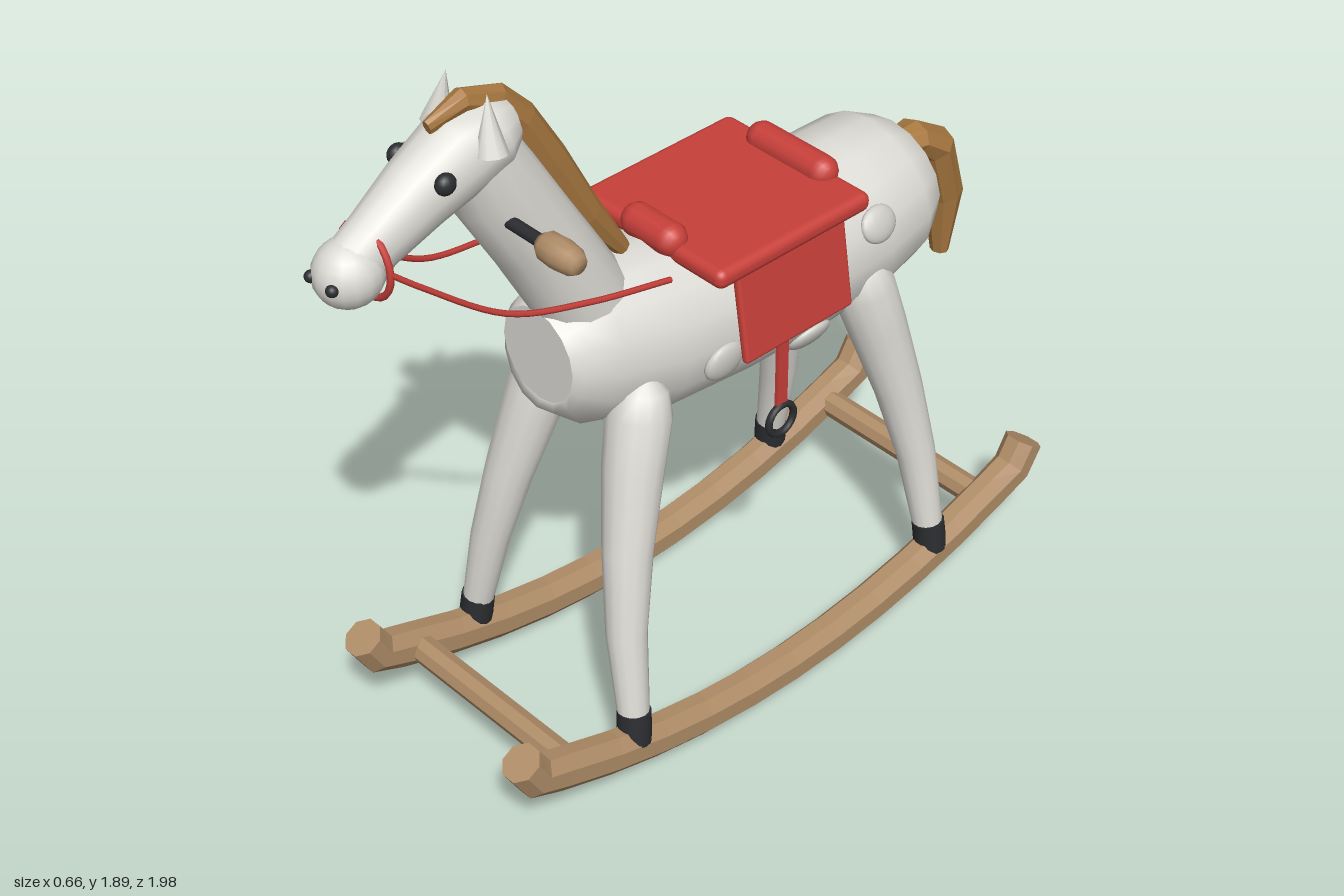
import * as THREE from 'three';
import { RoundedBoxGeometry } from 'three/addons/geometries/RoundedBoxGeometry.js';

const paint = (color, flatShading = false) => new THREE.MeshStandardMaterial({ color, flatShading });
const coat = paint(0xdedcd6), spotCoat = paint(0xcfcdc6), wood = paint(0xb08d68, true);
const gripWood = paint(0xb08d68), hair = paint(0xa87840, true), red = paint(0xc8403a), dark = paint(0x2b2d30);

// Closed skin over oval sections [x, y, z, half width, half depth] along a path
function loft(sections, n = 14, turn = 0, grow = 1) {
  const pts = sections.map(s => new THREE.Vector3(s[0], s[1], s[2]));
  const pos = [], index = [], last = pts.length - 1;
  const rings = sections.map((s, i) => {
    const t = pts[Math.min(i + 1, last)].clone().sub(pts[Math.max(i - 1, 0)]).normalize();
    const side = new THREE.Vector3(1, 0, 0).addScaledVector(t, -t.x).normalize();
    const up = t.clone().cross(side);
    return Array.from({ length: n }, (_, k) => {
      const a = turn + k / n * Math.PI * 2;
      return pts[i].clone().addScaledVector(side, Math.cos(a) * s[3] * grow).addScaledVector(up, Math.sin(a) * s[4] * grow);
    });
  });
  rings.forEach(r => r.forEach(p => pos.push(p.x, p.y, p.z)));
  for (let i = 0; i < last; i++) for (let k = 0; k < n; k++) {
    const a = i * n + k, b = i * n + (k + 1) % n;
    index.push(a, b, b + n, a, b + n, a + n);
  }
  // End caps with their own vertices, so the rim stays sharp
  for (const i of [0, last]) {
    const base = pos.length / 3;
    [...rings[i], pts[i]].forEach(p => pos.push(p.x, p.y, p.z));
    for (let k = 0; k < n; k++) {
      const k2 = (k + 1) % n;
      index.push(base + n, base + (i ? k : k2), base + (i ? k2 : k));
    }
  }
  const g = new THREE.BufferGeometry();
  g.setAttribute('position', new THREE.Float32BufferAttribute(pos, 3));
  g.setIndex(index);
  g.computeVertexNormals();
  return g;
}

export function createModel() {
  const model = new THREE.Group();
  const add = (name, geo, mat, p = [0, 0, 0], r = [0, 0, 0], s = [1, 1, 1]) => {
    const m = new THREE.Mesh(geo, mat);
    m.name = name;
    m.position.set(...p); m.rotation.set(...r); m.scale.set(...s);
    model.add(m);
    return m;
  };
  const mid = -0.1; // middle of the rockers along z
  const ball = new THREE.SphereGeometry(1, 16, 12);
  const HALF = Math.PI / 2;

  // Barrel body, neck and head
  add('body', loft([
    [0, 1.09, -0.73, 0.12, 0.11], [0, 1.09, -0.715, 0.155, 0.145], [0, 1.082, -0.64, 0.195, 0.2],
    [0, 1.06, -0.5, 0.21, 0.22], [0, 1.05, -0.3, 0.212, 0.22], [0, 1.045, -0.1, 0.207, 0.215],
    [0, 1.06, 0.14, 0.195, 0.215], [0, 1.095, 0.32, 0.165, 0.19], [0, 1.115, 0.4, 0.135, 0.145],
    [0, 1.115, 0.42, 0.115, 0.12]], 16), coat);
  add('neck', loft([
    [0, 1.05, 0.24, 0.11, 0.12], [0, 1.25, 0.31, 0.11, 0.11], [0, 1.45, 0.425, 0.096, 0.105],
    [0, 1.62, 0.525, 0.09, 0.105], [0, 1.74, 0.575, 0.075, 0.085]]), coat);
  add('head', loft([
    [0, 1.765, 0.475, 0.03, 0.03], [0, 1.765, 0.495, 0.065, 0.065], [0, 1.757, 0.54, 0.09, 0.09],
    [0, 1.735, 0.62, 0.09, 0.1], [0, 1.685, 0.73, 0.077, 0.088], [0, 1.625, 0.84, 0.063, 0.074],
    [0, 1.585, 0.91, 0.06, 0.068]]), coat);
  add('muzzle', ball, coat, [0, 1.578, 0.91], [0, 0, 0], [0.075, 0.078, 0.08]);

  // Mane and tail
  add('mane', loft([
    [0, 1.825, 0.69, 0.012, 0.018], [0, 1.852, 0.6, 0.027, 0.028], [0, 1.815, 0.515, 0.03, 0.04],
    [0, 1.74, 0.45, 0.032, 0.045], [0, 1.6, 0.37, 0.032, 0.048], [0, 1.42, 0.27, 0.028, 0.042],
    [0, 1.28, 0.165, 0.014, 0.02]], 8), hair);
  add('tail', loft([
    [0, 1.155, -0.69, 0.035, 0.035], [0, 1.155, -0.78, 0.055, 0.042], [0, 1.105, -0.85, 0.062, 0.052],
    [0, 0.94, -0.905, 0.05, 0.05], [0, 0.765, -0.905, 0.025, 0.022]], 8), hair);

  // Saddle seat with its two rolls, and the noseband
  add('saddleSeat', new RoundedBoxGeometry(0.47, 0.05, 0.48, 3, 0.022), red, [0, 1.262, -0.15]);
  add('saddleFrontRoll', new THREE.CapsuleGeometry(0.042, 0.1, 6, 12), red, [0, 1.285, 0.07], [0, 0, HALF]);
  add('saddleRearRoll', new THREE.CapsuleGeometry(0.04, 0.19, 6, 12), red, [0, 1.29, -0.365], [0, 0, HALF]);
  add('noseband', new THREE.TorusGeometry(0.08, 0.008, 8, 24), red, [0, 1.585, 0.865], [0, 0, 0], [1, 1.05, 1]);

  // Grip profile of the side handles
  const grip = new THREE.LatheGeometry([[0, -0.06], [0.022, -0.058], [0.032, -0.04], [0.037, 0],
    [0.034, 0.04], [0.022, 0.058], [0, 0.06]].map(p => new THREE.Vector2(...p)), 12);

  for (const s of [1, -1]) {
    const side = s > 0 ? 'left' : 'right';

    // Face
    add(side + 'Eye', ball, dark, [s * 0.076, 1.735, 0.71], [0, 0, 0], [0.02, 0.025, 0.025]);
    add(side + 'Nostril', ball, dark, [s * 0.035, 1.582, 0.979], [0, 0, 0], [0.014, 0.014, 0.014]);
    add(side + 'Ear', new THREE.ConeGeometry(0.036, 0.13, 10), coat, [s * 0.076, 1.825, 0.59], [-0.1, 0, s * 0.18]);

    // Handle through the neck
    add(side + 'HandleRod', new THREE.CylinderGeometry(0.015, 0.015, 0.16, 10), dark, [s * 0.11, 1.565, 0.545], [0, 0, HALF]);
    add(side + 'HandleGrip', grip, gripWood, [s * 0.232, 1.565, 0.545], [0, 0, HALF]);

    // Rein from the noseband to the shoulder
    const rein = new THREE.CatmullRomCurve3([[0.082, 1.59, 0.865], [0.1, 1.535, 0.8], [0.137, 1.395, 0.61],
      [0.165, 1.34, 0.41], [0.182, 1.3, 0.19]].map(p => new THREE.Vector3(s * p[0], p[1], p[2])));
    add(side + 'Rein', new THREE.TubeGeometry(rein, 24, 0.007, 6), red);

    // Saddle flap, strap and stirrup ring
    add(side + 'SaddleFlap', new RoundedBoxGeometry(0.022, 0.245, 0.34, 2, 0.009), red, [s * 0.228, 1.14, -0.145], [0, 0, s * 0.16]);
    add(side + 'StirrupStrap', new THREE.BoxGeometry(0.01, 0.23, 0.032), red, [s * 0.243, 0.94, mid]);
    add(side + 'StirrupRing', new THREE.TorusGeometry(0.04, 0.009, 8, 20), dark, [s * 0.245, 0.795, mid], [0, HALF, 0]);

    // Raised coat spots
    for (const [x, y, z, r] of [[0.198, 1.01, 0.04, 0.06], [0.192, 1.145, -0.46, 0.054], [0.152, 0.895, -0.28, 0.062]])
      add(side + 'Spot', ball, spotCoat, [s * x, y, z], [0, 0, s * (y - 1.05) * 4], [0.02, r * 0.85, r]);

    // Legs and hooves, front and rear mirrored about the middle
    for (const f of [1, -1]) {
      const limb = rows => loft(rows.map(([x, y, d, r]) => [s * x, y, mid + f * d, r, r]));
      const name = side + (f > 0 ? 'Front' : 'Rear');
      add(name + 'Leg', limb([[0.28, 0.21, 0.502, 0.038], [0.24, 0.43, 0.485, 0.049], [0.205, 0.63, 0.447, 0.06],
        [0.17, 0.83, 0.395, 0.073], [0.152, 0.95, 0.36, 0.078], [0.145, 1.01, 0.345, 0.062], [0.142, 1.04, 0.34, 0.03]]), coat);
      add(name + 'Hoof', limb([[0.288, 0.14, 0.508, 0.042], [0.28, 0.225, 0.501, 0.041]]), dark);
    }

    // Rocker runner with upturned ends
    const arc = Array.from({ length: 11 }, (_, i) => {
      const d = (i - 5) * 0.146;
      return [s * 0.285, 0.055 + 0.26 * d * d, mid + d, 0.042, 0.052];
    });
    const tip = f => [[s * 0.285, 0.225, mid + f * 0.81, 0.044, 0.05], [s * 0.285, 0.292, mid + f * 0.85, 0.045, 0.046]];
    add(side + 'Rocker', loft([...tip(-1).reverse(), ...arc, ...tip(1)], 8, Math.PI / 8, 1.08), wood);
  }

  // Crossbars between the rockers
  for (const [name, z] of [['frontCrossbar', 0.6], ['rearCrossbar', -0.8]])
    add(name, new THREE.CylinderGeometry(0.035, 0.035, 0.54, 8), wood, [0, 0.185, z], [0, 0, HALF]);

  return model;
}
